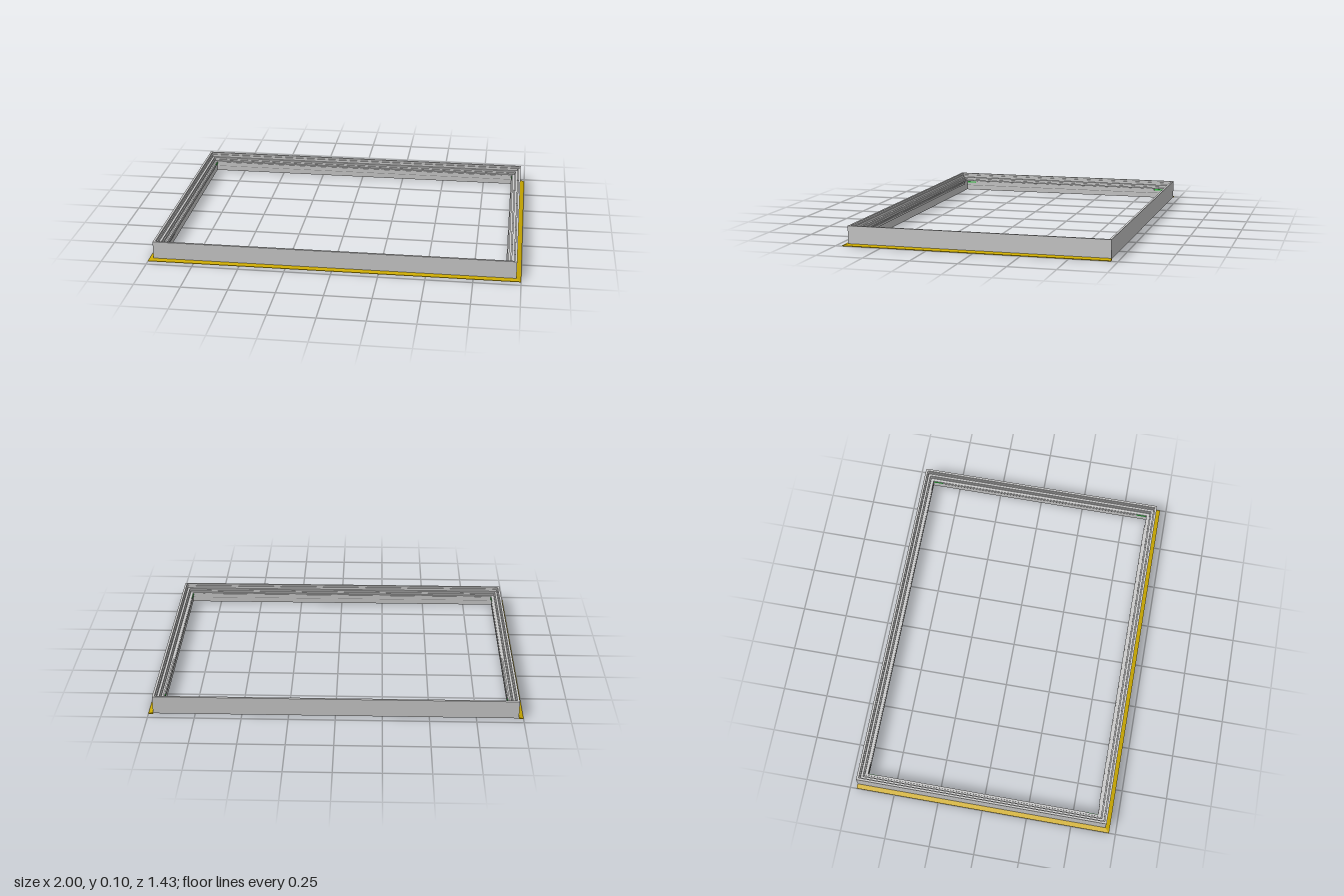
import * as THREE from 'three';

const grey = new THREE.MeshStandardMaterial({ color: 0xcccccc, flatShading: true });
const yellow = new THREE.MeshStandardMaterial({ color: 0xccaa00, flatShading: true, side: THREE.DoubleSide });
const green = new THREE.MeshStandardMaterial({ color: 0x33cc44 });

// Sweeps a closed profile of [inset, height] along mitred corners [x, z, inward x, inward z].
function sweep(profile, corners, closed) {
  const pos = [];
  const at = (c, p) => [c[0] + c[2] * p[0], p[1], c[1] + c[3] * p[0]];
  const spans = closed ? corners.length : corners.length - 1;
  for (let j = 0; j < spans; j++) {
    const c0 = corners[j], c1 = corners[(j + 1) % corners.length];
    profile.forEach((p, i) => {
      const q = profile[(i + 1) % profile.length];
      const a = at(c0, p), b = at(c1, p), c = at(c1, q), d = at(c0, q);
      pos.push(...a, ...b, ...c, ...a, ...c, ...d);
    });
  }
  // End caps for an open run
  if (!closed) {
    for (const c of [corners[0], corners[corners.length - 1]]) {
      for (let i = 1; i < profile.length - 1; i++) {
        pos.push(...at(c, profile[0]), ...at(c, profile[i]), ...at(c, profile[i + 1]));
      }
    }
  }
  const geo = new THREE.BufferGeometry();
  geo.setAttribute('position', new THREE.Float32BufferAttribute(pos, 3));
  geo.computeVertexNormals();
  return geo;
}

export function createModel() {
  const group = new THREE.Group();
  const add = (name, geo, mat, x = 0, y = 0, z = 0) => {
    const mesh = new THREE.Mesh(geo, mat);
    mesh.name = name;
    mesh.position.set(x, y, z);
    group.add(mesh);
  };

  // Frame: tall outer wall, stepped rebate inside, lower inner lip
  const X = 0.975, F = 0.69, B = -0.712;
  const frameProfile = [
    [0, 0.004], [0, 0.105], [0.012, 0.105], [0.012, 0.094], [0.018, 0.094],
    [0.018, 0.08], [0.03, 0.08], [0.03, 0.07], [0.036, 0.07], [0.036, 0.06],
    [0.044, 0.06], [0.044, 0.064], [0.053, 0.064], [0.053, 0.035], [0.051, 0.032],
    [0.051, 0.004],
  ];
  add('frame', sweep(frameProfile, [
    [X, F, -1, -1], [X, B, -1, 1], [-X, B, 1, 1], [-X, F, 1, -1],
  ], true), grey);

  // Tapered flange around the front and both sides
  const flangeProfile = [[0, 0], [0, 0.003], [0.025, 0.01], [0.025, 0]];
  add('flange', sweep(flangeProfile, [
    [-1, -0.714, 1, 0], [-1, 0.714, 1, -1], [1, 0.714, -1, -1], [1, -0.714, -1, 0],
  ], false), yellow);

  // Thin seals along the inner lip, stopping short of the corners
  const innerX = 0.921, innerF = 0.636, innerB = -0.658, sealY = 0.054;
  for (const s of [-1, 1]) {
    add(s > 0 ? 'leftSeal' : 'rightSeal', new THREE.BoxGeometry(0.006, 0.012, 1.17), grey, s * innerX, sealY, -0.015);
  }
  add('frontSeal', new THREE.BoxGeometry(1.72, 0.012, 0.006), grey, 0, sealY, innerF);
  add('backSeal', new THREE.BoxGeometry(1.72, 0.012, 0.006), grey, 0, sealY, innerB);

  // Small corner clips at the ends of the seals
  for (const s of [-1, 1]) {
    for (const z of [innerB + 0.03, innerF - 0.03]) {
      add('cornerClip', new THREE.BoxGeometry(0.004, 0.008, 0.055), green, s * innerX, sealY, z);
    }
  }
  return group;
}
